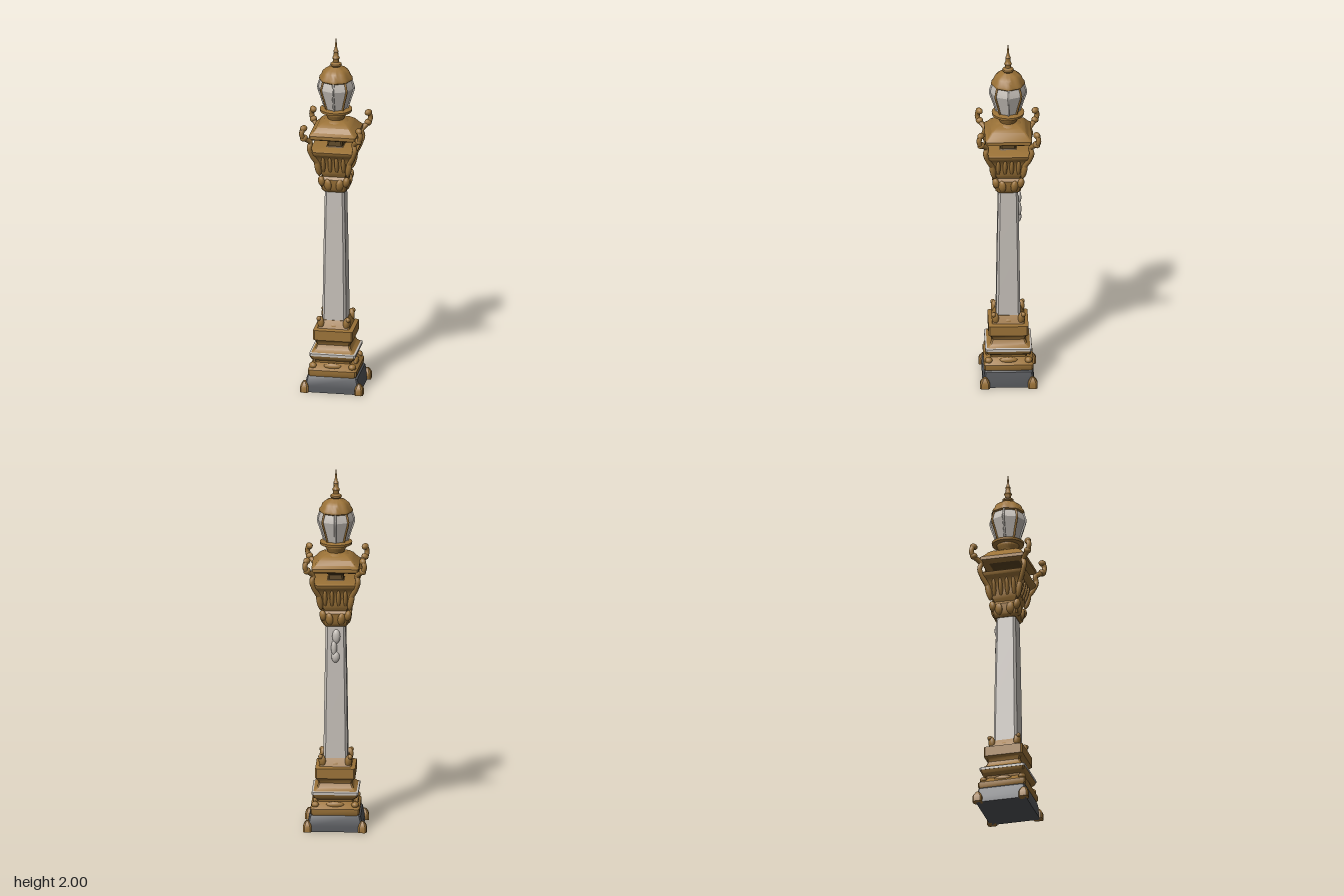
import * as THREE from 'three';
import { toCreasedNormals } from 'three/addons/utils/BufferGeometryUtils.js';

const mat = (name, color) => Object.assign(new THREE.MeshStandardMaterial({ color }), { name });

export function createModel() {
  const gold = mat('aged gold', 0x9c7338);
  const stone = mat('pale stone', 0xc6c0b9);
  const slate = mat('dark slate', 0x55575b);
  const shade = mat('dark bronze', 0x5c4522);
  const model = new THREE.Group();
  model.name = 'streetLamp';

  const add = (name, geo, material, x = 0, y = 0, z = 0) => {
    const m = new THREE.Mesh(geo, material);
    m.name = name;
    m.position.set(x, y, z);
    model.add(m);
    return m;
  };

  // Square section with cut corners, lofted through rows of [y, halfX, halfZ, cut]
  function loft(rows) {
    const pos = [], idx = [], n = 8, last = (rows.length - 1) * n;
    for (const [y, hx, hz = hx, c = 0.008] of rows) {
      for (const [x, z] of [[hx, -hz + c], [hx, hz - c], [hx - c, hz], [-hx + c, hz],
        [-hx, hz - c], [-hx, -hz + c], [-hx + c, -hz], [hx - c, -hz]]) pos.push(x, y, z);
    }
    for (let r = 0; r < last; r += n) for (let i = 0; i < n; i++) {
      const a = r + i, b = r + (i + 1) % n;
      idx.push(a, a + n, b, b, a + n, b + n);
    }
    for (let i = 1; i < n - 1; i++) idx.push(0, i, i + 1, last, last + i + 1, last + i);
    const g = new THREE.BufferGeometry();
    g.setAttribute('position', new THREE.Float32BufferAttribute(pos, 3));
    g.setIndex(idx);
    return toCreasedNormals(g, 0.6);
  }

  const lathe = (pts, seg, crease = 0.6) => toCreasedNormals(
    new THREE.LatheGeometry(pts.map(p => new THREE.Vector2(...p)), seg), crease);

  // Swelling ornament, turned about y and leaning outwards
  const ball = new THREE.SphereGeometry(1, 10, 8);
  function leaf(name, x, y, z, w, h, d, lean = 0) {
    const m = add(name, ball, gold, x, y, z);
    m.rotation.order = 'YXZ';
    m.rotation.set(lean, Math.atan2(x, z), 0);
    m.scale.set(w, h, d);
  }
  const corners = [[1, 1], [1, -1], [-1, -1], [-1, 1]];

  // Plinth and its corner feet
  add('plinth', loft([[0, 0.152, 0.14], [0.03, 0.15, 0.138], [0.085, 0.138, 0.13], [0.092, 0.13, 0.125]]), slate);
  for (const [sx, sz] of corners)
    add('foot', loft([[0, 0.023, 0.026], [0.03, 0.023, 0.026], [0.045, 0.018, 0.02], [0.06, 0.008, 0.009, 0.004]]),
      gold, sx * 0.149, 0, sz * 0.129);

  // Stepped pedestal
  add('pedestalBase', loft([[0.085, 0.125], [0.1, 0.133], [0.125, 0.133], [0.14, 0.118], [0.16, 0.098],
    [0.172, 0.1], [0.185, 0.118], [0.204, 0.125]]), gold);
  add('pedestalBand', loft([[0.203, 0.126], [0.217, 0.126], [0.221, 0.118]]), stone);
  add('pedestalTop', loft([[0.218, 0.12], [0.235, 0.1], [0.26, 0.09], [0.28, 0.097], [0.29, 0.108],
    [0.345, 0.108], [0.352, 0.088], [0.375, 0.078], [0.395, 0.068]]), gold);
  for (const [sx, sz] of corners) {
    leaf('baseLeaf', sx * 0.071, 0.38, sz * 0.071, 0.022, 0.038, 0.018, 0.1);
    leaf('baseLeafTip', sx * 0.08, 0.405, sz * 0.08, 0.013, 0.014, 0.013);
    leaf('pedestalScroll', sx * 0.108, 0.145, sz * 0.108, 0.022, 0.018, 0.02);
  }
  for (let i = 0; i < 4; i++) {
    const a = i * Math.PI / 2, s = Math.sin(a), c = Math.cos(a);
    leaf('pedestalOrnament', s * 0.11, 0.145, c * 0.11, 0.05, 0.018, 0.014);
    leaf('middleLeaf', s * 0.07, 0.362, c * 0.07, 0.035, 0.016, 0.014);
  }

  // Tapering shaft with a raised carving on its back
  add('shaft', loft([[0.36, 0.066, 0.066, 0.012], [0.8, 0.06, 0.06, 0.012], [1.16, 0.053, 0.053, 0.011]]), stone);
  for (const [x, y, w, h] of [[0, 0.96, 0.022, 0.032], [0.008, 1.01, 0.016, 0.045], [-0.004, 1.075, 0.022, 0.04]])
    add('backCarving', ball, stone, x, y, -0.057).scale.set(w, h, 0.016);

  // Capital: leafy collar and fluted flare
  add('collar', loft([[1.13, 0.056], [1.145, 0.068], [1.19, 0.072], [1.205, 0.074], [1.22, 0.064],
    [1.235, 0.072], [1.25, 0.078]]), gold);
  add('capital', loft([[1.225, 0.066], [1.245, 0.078], [1.28, 0.08], [1.32, 0.09], [1.345, 0.105],
    [1.36, 0.122], [1.378, 0.127], [1.384, 0.118]]), gold);
  for (let i = 0; i < 4; i++) {
    const a = i * Math.PI / 2, s = Math.sin(a), c = Math.cos(a);
    for (const t of [-0.034, 0.034])
      leaf('collarLeaf', s * 0.068 + c * t, 1.175, c * 0.068 - s * t, 0.024, 0.035, 0.016, 0.15);
    for (const t of [-0.055, -0.018, 0.018, 0.055]) {
      const m = add('flute', ball, gold, s * 0.085 + c * t, 1.295, c * 0.085 - s * t);
      m.rotation.order = 'YXZ';
      m.rotation.set(0.3, a, 0);
      m.scale.set(0.012, 0.055, 0.014);
    }
  }
  for (const [sx, sz] of corners) {
    leaf('collarCornerLeaf', sx * 0.068, 1.195, sz * 0.068, 0.02, 0.03, 0.018, 0.2);
    leaf('capitalCornerLeaf', sx * 0.085, 1.28, sz * 0.085, 0.016, 0.055, 0.018, 0.25);
  }

  // Open gallery: inner post under the canopy
  add('innerPost', loft([[1.375, 0.058], [1.39, 0.042], [1.415, 0.04], [1.435, 0.06], [1.452, 0.1]]), shade);
  add('canopy', loft([[1.445, 0.118], [1.452, 0.128, 0.126], [1.47, 0.128, 0.126], [1.485, 0.112, 0.11],
    [1.51, 0.092, 0.092], [1.525, 0.072, 0.072], [1.535, 0.045, 0.045]]), gold);

  // Curling corner arms
  const arm = new THREE.CatmullRomCurve3([[0.085, 1.3], [0.112, 1.355], [0.125, 1.4], [0.119, 1.432],
    [0.135, 1.452], [0.154, 1.468], [0.161, 1.495], [0.155, 1.52]].map(([d, y]) => new THREE.Vector3(d, y, d)));
  const armGeo = new THREE.TubeGeometry(arm, 28, 0.014, 8);
  for (let i = 0; i < 4; i++) {
    add('cornerArm', armGeo, gold).rotation.y = i * Math.PI / 2;
    const [sx, sz] = corners[i];
    leaf('armTip', sx * 0.151, 1.523, sz * 0.151, 0.017, 0.018, 0.022);
    leaf('armScroll', sx * 0.15, 1.467, sz * 0.15, 0.019, 0.018, 0.022, 0.4);
  }

  // Lantern foot and rim
  add('lanternFoot', lathe([[0, 1.515], [0.08, 1.515], [0.066, 1.53], [0.045, 1.538], [0.05, 1.55], [0.06, 1.566],
    [0.06, 1.576], [0.086, 1.58], [0.088, 1.594], [0.066, 1.6], [0, 1.6]], 24), gold);

  // Eight-sided glass with ribs on every edge
  const glass = [[0.062, 1.598], [0.078, 1.65], [0.098, 1.715], [0.094, 1.735], [0.082, 1.768]];
  add('glass', lathe(glass, 8, 0.3), stone);
  const ribPath = new THREE.CatmullRomCurve3(glass.map(([r, y]) => new THREE.Vector3(r, y, 0)));
  const ribGeo = new THREE.TubeGeometry(ribPath, 14, 0.006, 6);
  for (let i = 0; i < 8; i++)
    add('lanternRib', ribGeo, i % 2 ? gold : stone).rotation.y = i * Math.PI / 4;

  // Lobed cap
  const cap = new THREE.LatheGeometry([[0, 1.755], [0.08, 1.755], [0.092, 1.765], [0.09, 1.778], [0.08, 1.79],
    [0.074, 1.808], [0.056, 1.823], [0.03, 1.834], [0.018, 1.842], [0, 1.842]].map(p => new THREE.Vector2(...p)), 48);
  const p = cap.attributes.position;
  for (let i = 0; i < p.count; i++) {
    const k = 1 - 0.06 * (1 + Math.cos(8 * Math.atan2(p.getX(i), p.getZ(i)) + Math.PI)) / 2;
    p.setX(i, p.getX(i) * k);
    p.setZ(i, p.getZ(i) * k);
  }
  add('lanternCap', toCreasedNormals(cap, 0.7), gold);

  // Finial
  add('finial', lathe([[0.02, 1.83], [0.032, 1.845], [0.03, 1.853], [0.016, 1.862], [0.017, 1.875], [0.021, 1.885],
    [0.014, 1.897], [0.012, 1.915], [0.015, 1.922], [0.008, 1.935], [0.005, 1.96], [0.003, 1.99], [0, 2]], 12), gold);

  return model;
}
